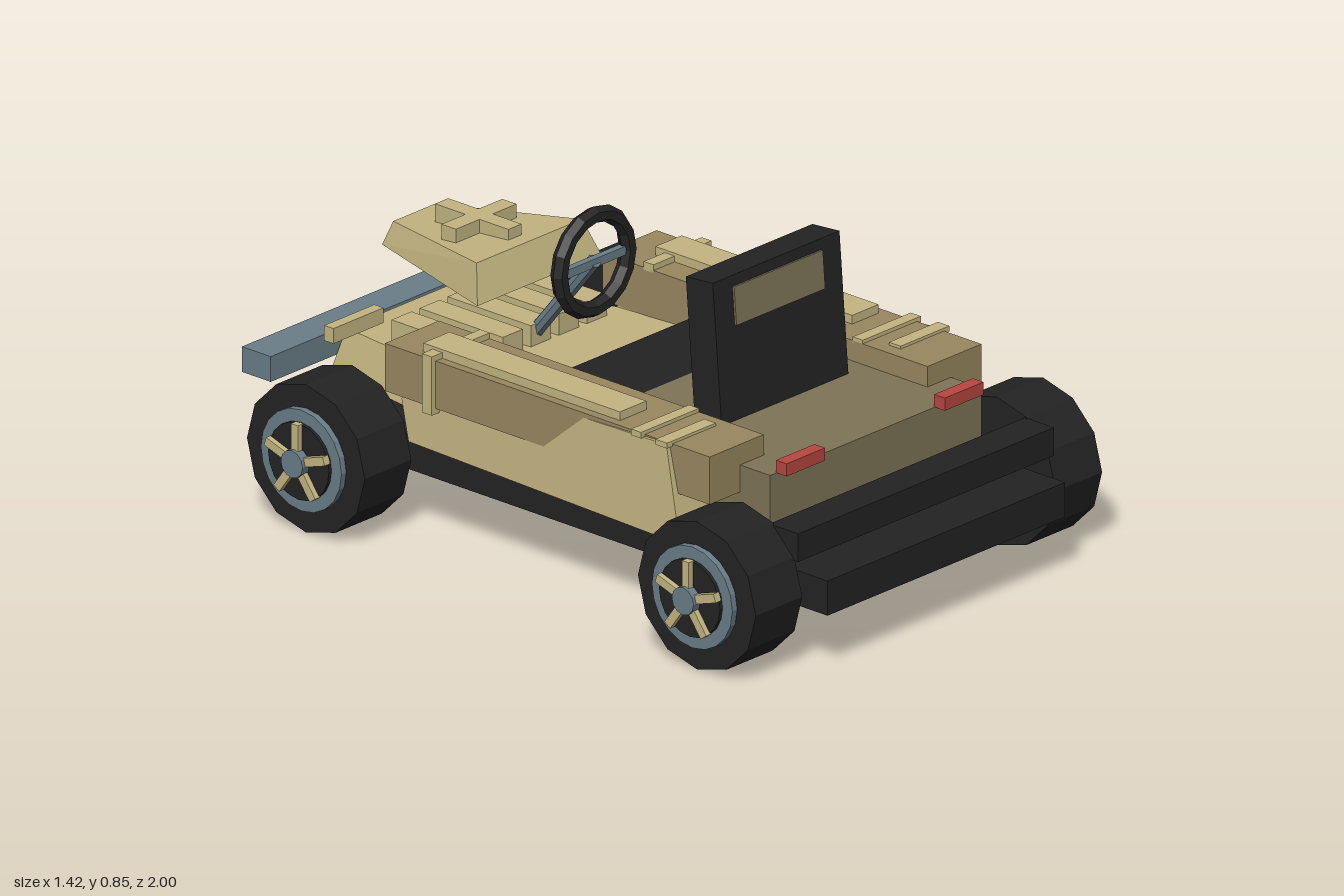
import * as THREE from 'three';

const mat = (name, color) => Object.assign(new THREE.MeshStandardMaterial({ color }), { name });

export function createModel() {
  const sand = mat('sand', 0xc4b581);
  const tan = mat('tan', 0x98875f);
  const olive = mat('olive', 0x7d7456);
  const black = mat('black', 0x232323);
  const steel = mat('steel', 0x6a7d88);
  const red = mat('red', 0xb84640);
  for (const m of [sand, tan, olive, black, steel, red]) m.flatShading = true;

  const kart = new THREE.Group();
  kart.name = 'goKart';

  const add = (name, geometry, material, parent = kart) => {
    const mesh = new THREE.Mesh(geometry, material);
    mesh.name = name;
    parent.add(mesh);
    return mesh;
  };
  // Box given by its limits on each axis
  const box = (name, material, [x0, x1], [y0, y1], [z0, z1], parent = kart) => {
    const g = new THREE.BoxGeometry(x1 - x0, y1 - y0, z1 - z0);
    g.translate((x0 + x1) / 2, (y0 + y1) / 2, (z0 + z1) / 2);
    return add(name, g, material, parent);
  };
  // Symmetric wedge: each corner pair is [half width, y, z]
  const wedge = (name, material, c) => {
    const g = new THREE.BoxGeometry(2, 2, 2);
    const p = g.attributes.position;
    for (let i = 0; i < p.count; i++) {
      const end = p.getZ(i) < 0 ? c.nose : c.tail;
      const [w, y, z] = p.getY(i) < 0 ? end.bottom : end.top;
      p.setXYZ(i, p.getX(i) * w, y, z);
    }
    g.computeVertexNormals();
    return add(name, g, material);
  };
  // Cylinder lying along x between two positions
  const xCylinder = (name, material, r, x0, x1, sides, parent) => {
    const g = new THREE.CylinderGeometry(r, r, x1 - x0, sides);
    g.rotateZ(-Math.PI / 2).translate((x0 + x1) / 2, 0, 0);
    return add(name, g, material, parent);
  };

  // Chassis and bumpers
  box('floorPan', black, [-0.45, 0.45], [0.16, 0.256], [-0.89, 1]);
  box('rearBumper', black, [-0.485, 0.485], [0.3, 0.378], [0.83, 0.93]);
  box('frontBumper', steel, [-0.49, 0.49], [0.29, 0.36], [-1, -0.9]);

  // Nose deck and raised nose cover
  wedge('noseDeck', sand, {
    nose: { bottom: [0.27, 0.19, -0.92], top: [0.225, 0.365, -0.88] },
    tail: { bottom: [0.42, 0.262, 0.05], top: [0.4, 0.405, 0.01] },
  });
  wedge('noseCover', sand, {
    nose: { bottom: [0.095, 0.558, -0.875], top: [0.08, 0.625, -0.85] },
    tail: { bottom: [0.235, 0.558, -0.415], top: [0.2, 0.657, -0.45] },
  });
  box('crossLong', sand, [-0.025, 0.025], [0.62, 0.683], [-0.755, -0.5]);
  box('crossWide', sand, [-0.115, 0.115], [0.625, 0.683], [-0.65, -0.6]);
  for (let i = -2; i <= 2; i++) {
    const x = i * 0.106;
    box('noseRib', sand, [x - 0.038, x + 0.038], [0.37, 0.445], [-0.7, -0.41]);
  }

  // Rear deck
  box('rearDeck', olive, [-0.4, 0.4], [0.275, 0.465], [0.14, 0.755]);

  // Side pods, straps and lights, mirrored left and right
  const profile = new THREE.Shape([
    [0.57, 0.265], [0.51, 0.52], [-0.02, 0.5], [-0.38, 0.455], [-0.44, 0.375], [-0.41, 0.265],
  ].map(([z, y]) => new THREE.Vector2(-z, y)));
  for (const s of [-1, 1]) {
    const span = (a, b) => (s > 0 ? [a, b] : [-b, -a]);
    const g = new THREE.ExtrudeGeometry(profile, { depth: 1, bevelEnabled: false });
    g.rotateY(Math.PI / 2);
    const p = g.attributes.position;
    for (let i = 0; i < p.count; i++) {
      const outer = (s > 0) === (p.getX(i) > 0.5);
      const z = p.getZ(i);
      const lean = 0.012 * (p.getY(i) - 0.265) / 0.255;
      p.setX(i, s * (outer ? 0.518 + 0.04 * z - lean : 0.312));
    }
    g.computeVertexNormals();
    add('sidePanel', g, sand);
    box('sidePod', tan, span(0.31, 0.515), [0.39, 0.522], [-0.48, 0.65]);
    box('podRail', sand, span(0.39, 0.49), [0.515, 0.546], [-0.37, 0.315]);
    box('frontStrap', sand, span(0.31, 0.53), [0.515, 0.538], [-0.337, -0.303]);
    box('strapSide', sand, span(0.5, 0.53), [0.375, 0.538], [-0.337, -0.303]);
    box('rearStrap', sand, span(0.31, 0.53), [0.515, 0.532], [0.39, 0.425]);
    box('rearTab', sand, span(0.35, 0.535), [0.515, 0.53], [0.48, 0.52]);
    box('noseFin', sand, span(0.19, 0.38), [0.395, 0.437], [-0.815, -0.783]);
    box('tailLight', red, span(0.227, 0.373), [0.463, 0.498], [0.75, 0.787]);
  }

  // Seat with a leaning back
  box('seatCushion', black, [-0.235, 0.235], [0.257, 0.465], [-0.11, 0.4]);
  const back = new THREE.Group();
  back.name = 'seatBack';
  back.position.set(0, 0.43, 0.395);
  back.rotation.x = -0.08;
  kart.add(back);
  box('backrest', black, [-0.24, 0.24], [0, 0.42], [-0.047, 0.047], back);
  box('headPad', olive, [-0.168, 0.168], [0.285, 0.39], [-0.053, 0.053], back);

  // Steering wheel and column
  const rim = add('steeringWheel', new THREE.TorusGeometry(0.13, 0.023, 6, 16), black);
  rim.position.set(0, 0.662, -0.227);
  box('steeringBar', steel, [-0.12, 0.12], [0.65, 0.674], [-0.237, -0.217]);
  const from = new THREE.Vector3(0, 0.665, -0.225);
  const to = new THREE.Vector3(0, 0.4, -0.44);
  const column = add('steeringColumn',
    new THREE.CylinderGeometry(0.02, 0.02, from.distanceTo(to), 8), steel);
  column.position.lerpVectors(from, to, 0.5);
  column.quaternion.setFromUnitVectors(new THREE.Vector3(0, 1, 0), from.clone().sub(to).normalize());

  // Axles and wheels
  for (const [label, z] of [['front', -0.625], ['rear', 0.735]]) {
    const axle = xCylinder(label + 'Axle', steel, 0.028, -0.5, 0.5, 10, kart);
    axle.position.set(0, 0.207, z);
    for (const s of [-1, 1]) {
      const wheel = new THREE.Group();
      wheel.name = label + (s > 0 ? 'LeftWheel' : 'RightWheel');
      wheel.position.set(0, 0.205, z);
      if (s < 0) wheel.rotation.y = Math.PI;
      kart.add(wheel);
      xCylinder('tire', black, 0.205, 0.48, 0.656, 12, wheel);
      xCylinder('rim', steel, 0.14, 0.65, 0.674, 20, wheel);
      xCylinder('rimCentre', black, 0.106, 0.66, 0.684, 20, wheel);
      xCylinder('hub', steel, 0.038, 0.67, 0.71, 12, wheel);
      for (let i = 0; i < 5; i++) {
        const spoke = box('spoke', sand, [0.68, 0.7], [0.03, 0.107], [-0.012, 0.012], wheel);
        spoke.rotation.x = (i * Math.PI * 2) / 5;
      }
    }
  }
  return kart;
}
